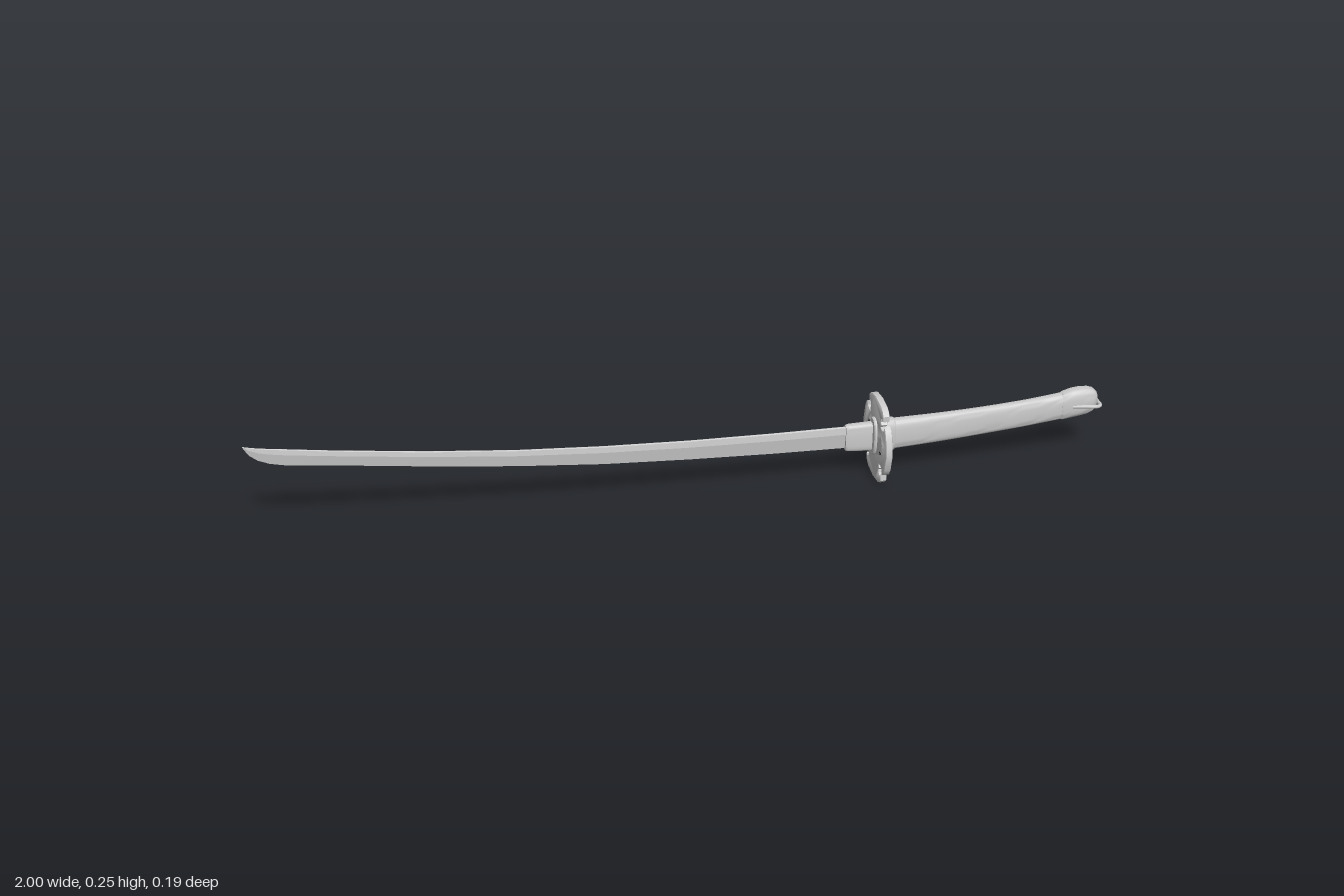
import * as THREE from 'three';
import { toCreasedNormals } from 'three/addons/utils/BufferGeometryUtils.js';

const material = new THREE.MeshStandardMaterial({ color: 0xcccccc });

function add(parent, name, geometry) {
  const mesh = new THREE.Mesh(geometry, material);
  mesh.name = name;
  parent.add(mesh);
  return mesh;
}

// Skin a section ([height 0..1, width -1..1]) along x; stations are [x, bottom, top, halfWidth]
function loft(stations, section, crease = 0.6) {
  const n = section.length;
  const pos = [], index = [];
  for (const [x, bottom, top, half] of stations) {
    for (const [v, w] of section) pos.push(x, bottom + (top - bottom) * v, w * half);
  }
  for (let i = 0; i < stations.length - 1; i++) {
    for (let j = 0; j < n; j++) {
      const a = i * n + j, b = i * n + (j + 1) % n;
      index.push(a, b, a + n, b, b + n, a + n);
    }
  }
  const last = (stations.length - 1) * n;
  for (let j = 1; j < n - 1; j++) {
    index.push(0, j + 1, j, last, last + j, last + j + 1);
  }
  const geometry = new THREE.BufferGeometry();
  geometry.setAttribute('position', new THREE.Float32BufferAttribute(pos, 3));
  geometry.setIndex(index);
  return toCreasedNormals(geometry, crease);
}

// Rounded oblong section; a lower power gives squarer corners
function oval(power, count = 24) {
  const points = [];
  const bend = (t) => Math.sign(t) * Math.pow(Math.abs(t), power);
  for (let i = 0; i < count; i++) {
    const a = (i / count) * Math.PI * 2;
    points.push([0.5 + 0.5 * bend(Math.cos(a)), bend(Math.sin(a))]);
  }
  return points;
}

// Resample a few stations into a smooth run
function smooth(stations, count) {
  const side = new THREE.CatmullRomCurve3(stations.map(([x, b, t]) => new THREE.Vector3(x, b, t)));
  const width = new THREE.CatmullRomCurve3(stations.map((s) => new THREE.Vector3(s[3], 0, 0)));
  return Array.from({ length: count + 1 }, (_, i) => {
    const p = side.getPoint(i / count);
    return [p.x, p.y, p.z, width.getPoint(i / count).x];
  });
}

function guardGeometry() {
  const cy = 0.105;
  // One quarter of the outline, from top centre to the side
  const quarter = [
    [0, 0.105], [0.02, 0.102], [0.038, 0.1], [0.05, 0.094], [0.059, 0.085],
    [0.058, 0.071], [0.049, 0.074], [0.042, 0.071], [0.041, 0.063], [0.046, 0.057],
    [0.041, 0.05], [0.053, 0.047], [0.066, 0.052], [0.066, 0.065], [0.078, 0.058],
    [0.087, 0.042], [0.092, 0.02], [0.097, 0],
  ];
  const outline = [
    ...quarter,
    ...quarter.slice(0, -1).reverse().map(([x, y]) => [x, -y]),
    ...quarter.slice(1).map(([x, y]) => [-x, -y]),
    ...quarter.slice(1, -1).reverse().map(([x, y]) => [-x, y]),
  ].map(([x, y]) => new THREE.Vector2(x, y + cy));
  const shape = new THREE.Shape(outline);
  for (const s of [-1, 1]) {
    const hole = new THREE.Path();
    hole.absellipse(s * 0.047, cy + 0.002, 0.014, 0.025, 0, Math.PI * 2, true);
    shape.holes.push(hole);
  }
  const geometry = new THREE.ExtrudeGeometry(shape, {
    depth: 0.01, curveSegments: 20,
    bevelEnabled: true, bevelThickness: 0.003, bevelSize: 0.002, bevelOffset: -0.002, bevelSegments: 2,
  });
  geometry.translate(0, 0, -0.005);
  return toCreasedNormals(geometry.rotateY(Math.PI / 2), 0.6);
}

export function createModel() {
  const sword = new THREE.Group();
  sword.name = 'sword';

  // Curved blade: ridged flanks, narrow spine above, cutting edge below
  const bladeSection = [[1, 0], [0.97, 0.7], [0.68, 1], [0, 0], [0.68, -1], [0.97, -0.7]];
  add(sword, 'blade', loft([
    [-1, 0.243, 0.245, 0.0005], [-0.988, 0.222, 0.242, 0.002], [-0.97, 0.207, 0.238, 0.003],
    [-0.945, 0.196, 0.234, 0.0035], [-0.91, 0.188, 0.229, 0.004], [-0.8, 0.175, 0.213, 0.004],
    [-0.6, 0.149, 0.188, 0.0043], [-0.4, 0.126, 0.168, 0.0045], [-0.2, 0.108, 0.155, 0.005],
    [0, 0.097, 0.147, 0.005], [0.2, 0.089, 0.143, 0.0055], [0.44, 0.083, 0.141, 0.006],
  ], bladeSection, 0.2));

  // Collar at the root of the blade
  add(sword, 'bladeCollar', loft([
    [0.372, 0.08, 0.144, 0.009], [0.378, 0.078, 0.146, 0.011], [0.435, 0.074, 0.147, 0.013],
  ], oval(0.45)));

  // Pierced guard and the spacers on both faces
  add(sword, 'guard', guardGeometry()).position.x = 0.452;
  for (const [name, x] of [['frontSpacer', 0.437], ['rearSpacer', 0.458]]) {
    add(sword, name, loft([
      [x, 0.064, 0.156, 0.021], [x + 0.003, 0.062, 0.158, 0.024],
      [x + 0.006, 0.062, 0.158, 0.024], [x + 0.009, 0.064, 0.156, 0.021],
    ], oval(0.8)));
  }

  // Ferrule and gently curving grip
  add(sword, 'ferrule', loft([
    [0.463, 0.07, 0.151, 0.018], [0.468, 0.068, 0.153, 0.02],
    [0.486, 0.069, 0.153, 0.02], [0.49, 0.071, 0.151, 0.018],
  ], oval(0.65)));
  add(sword, 'grip', loft(smooth([
    [0.48, 0.073, 0.15, 0.017], [0.6, 0.079, 0.152, 0.015], [0.72, 0.088, 0.157, 0.014],
    [0.82, 0.097, 0.164, 0.015], [0.92, 0.109, 0.175, 0.017],
  ], 20), oval(0.65)));

  // Pommel cap, rounded off at the end
  add(sword, 'pommel', loft([
    [0.9, 0.107, 0.173, 0.017], [0.905, 0.105, 0.176, 0.019], [0.925, 0.108, 0.182, 0.02],
    [0.945, 0.111, 0.184, 0.021], [0.965, 0.115, 0.183, 0.02], [0.978, 0.12, 0.179, 0.018],
    [0.986, 0.127, 0.172, 0.014], [0.99, 0.136, 0.162, 0.008],
  ], oval(0.7)));

  // Band along the pommel sides, closing across its end
  const band = new THREE.CatmullRomCurve3([
    [0.925, 0.143, 0.017], [0.955, 0.142, 0.021], [0.985, 0.14, 0.023], [0.994, 0.14, 0.018],
    [0.995, 0.14, 0], [0.994, 0.14, -0.018], [0.985, 0.14, -0.023], [0.955, 0.142, -0.021],
    [0.925, 0.143, -0.017],
  ].map((p) => new THREE.Vector3(...p)));
  add(sword, 'pommelBand', new THREE.TubeGeometry(band, 48, 0.0045, 8));

  return sword;
}
